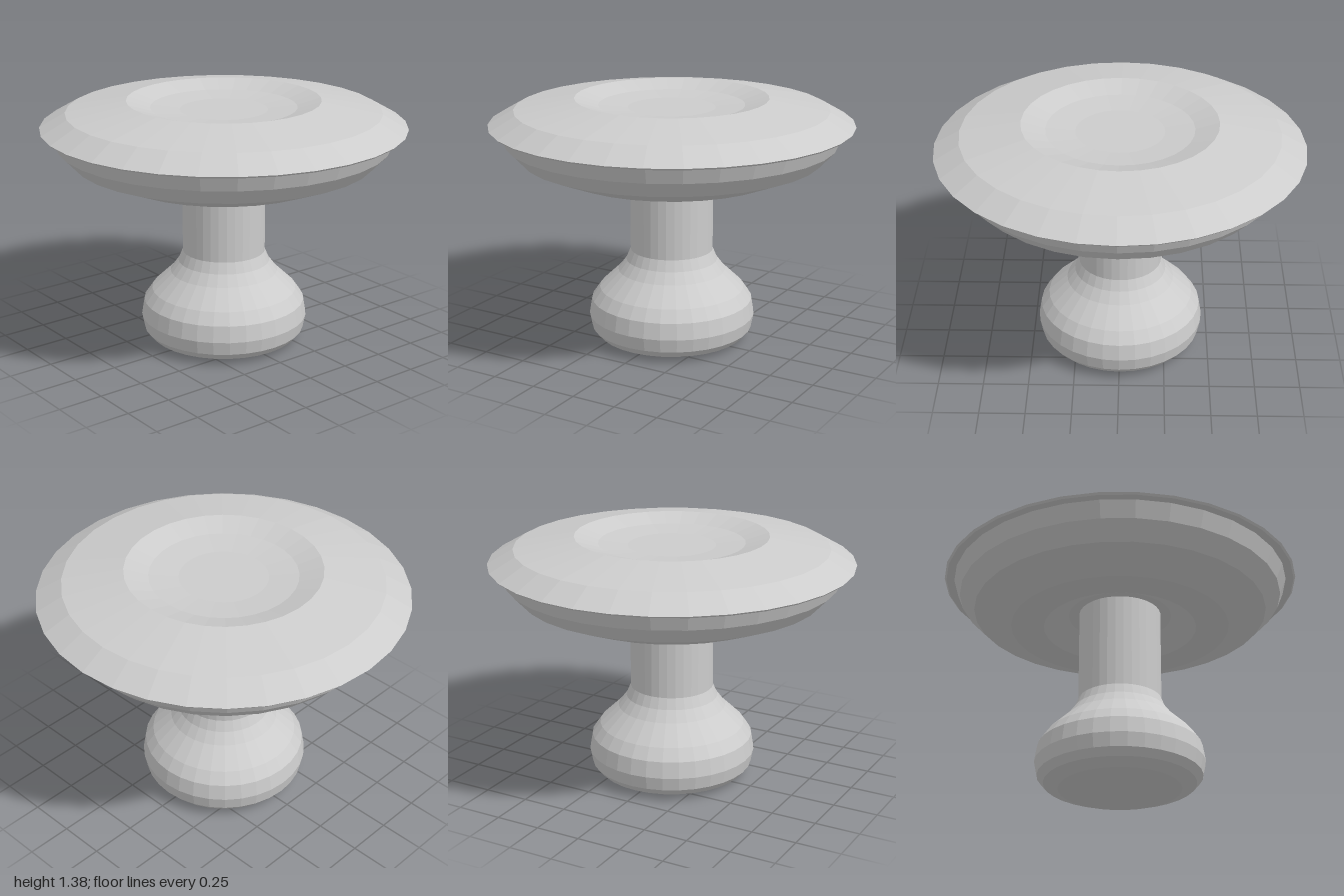
import * as THREE from 'three';

const SIDES = 32;

// Faceted solid of revolution; profile runs from the bottom, outward and up
function turned(name, profile, material) {
  const points = profile.map(([r, y]) => new THREE.Vector2(r, y));
  const geometry = new THREE.LatheGeometry(points, SIDES).toNonIndexed();
  geometry.computeVertexNormals();
  const mesh = new THREE.Mesh(geometry, material);
  mesh.name = name;
  return mesh;
}

export function createModel() {
  const group = new THREE.Group();
  group.name = 'pedestal';

  const grey = new THREE.MeshStandardMaterial({ color: 0xcccccc });
  grey.name = 'light grey';

  // Bulbous foot flaring out of the round stem
  group.add(turned('foot', [
    [0, 0], [0.335, 0], [0.415, 0.03], [0.45, 0.07], [0.465, 0.145],
    [0.45, 0.235], [0.405, 0.3], [0.3, 0.4], [0.255, 0.46], [0.23, 0.52],
  ], grey));
  group.add(turned('stem', [[0.23, 0.52], [0.23, 1.05]], grey));

  // Bowl underside, recessed around the stem
  group.add(turned('bowl', [
    [0.23, 1.05], [0.29, 1.04], [0.43, 0.965], [0.615, 0.965],
    [0.825, 1.05], [0.91, 1.14], [0.945, 1.23],
  ], grey));

  // Overhanging lip, sloped top and shallow central dish
  group.add(turned('top', [
    [0.945, 1.23], [0.99, 1.23], [1, 1.24], [0.86, 1.32],
    [0.53, 1.38], [0.4, 1.34], [0.24, 1.325], [0, 1.325],
  ], grey));

  return group;
}
